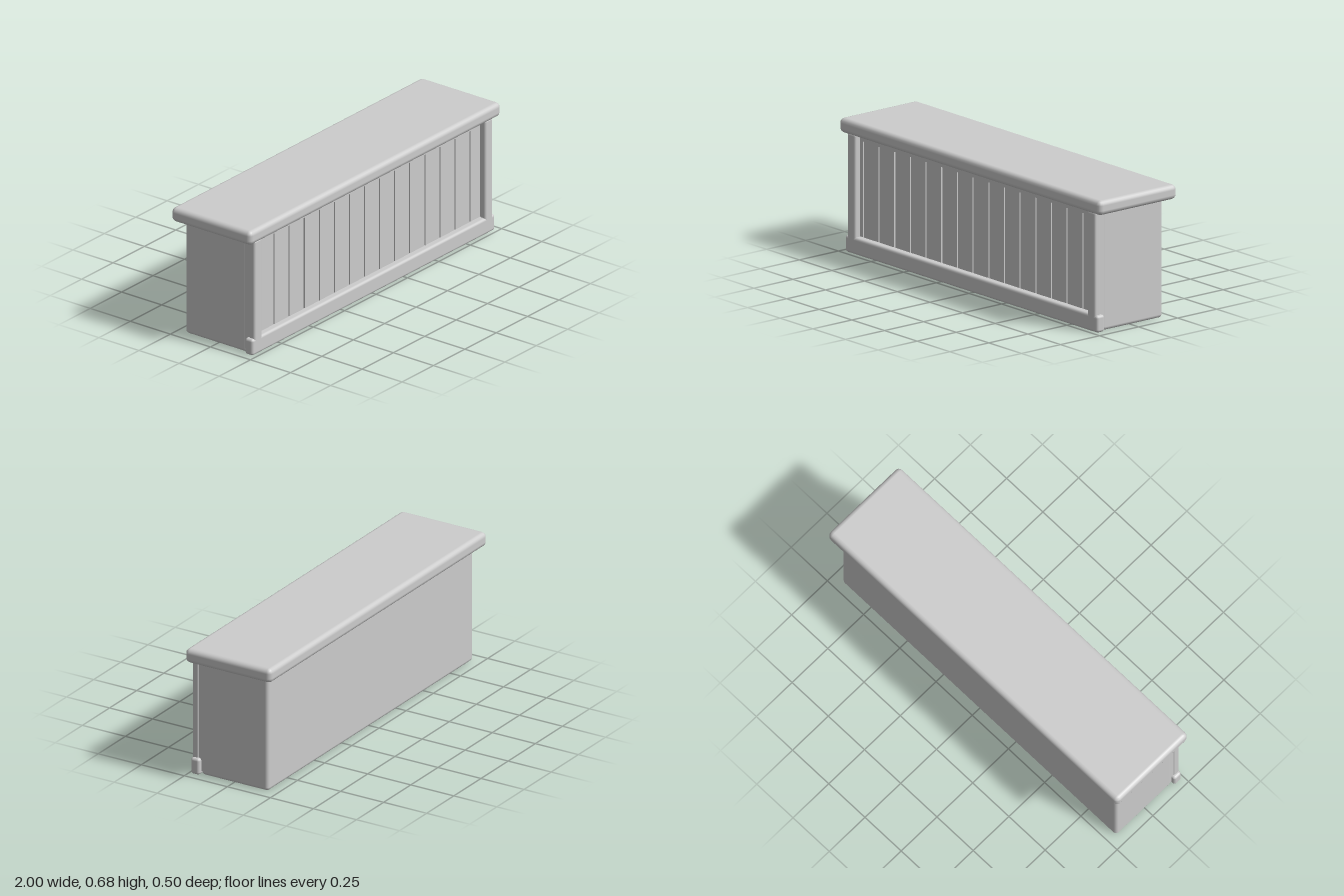
import * as THREE from 'three';
import { RoundedBoxGeometry } from 'three/addons/geometries/RoundedBoxGeometry.js';

export function createModel() {
  const model = new THREE.Group();
  model.name = 'counter';
  const grey = new THREE.MeshStandardMaterial({ color: 0xcccccc });
  grey.name = 'light grey';

  // Box given by its limits; radius 0 keeps the edges sharp
  function block(name, [x0, x1], [y0, y1], [z0, z1], radius = 0) {
    const size = [x1 - x0, y1 - y0, z1 - z0];
    const geometry = radius
      ? new RoundedBoxGeometry(...size, 2, radius)
      : new THREE.BoxGeometry(...size);
    const mesh = new THREE.Mesh(geometry, grey);
    mesh.name = name;
    mesh.position.set((x0 + x1) / 2, (y0 + y1) / 2, (z0 + z1) / 2);
    model.add(mesh);
  }

  // Main body and overhanging top
  block('body', [-0.945, 0.945], [0, 0.612], [-0.202, 0.186], 0.018);
  block('counterTop', [-1, 1], [0.607, 0.682], [-0.25, 0.25], 0.025);

  // Front boards, with narrow grooves between them
  const grooveWidth = 0.008, front = [0.16, 0.2];
  const grooves = Array.from({ length: 15 }, (_, i) => -0.868 + i * 0.12);
  const edges = [-0.944, ...grooves, 0.944];
  for (let i = 0; i < edges.length - 1; i++) {
    const left = i === 0 ? edges[i] : edges[i] + grooveWidth / 2;
    const right = i === edges.length - 2 ? edges[i + 1] : edges[i + 1] - grooveWidth / 2;
    block('frontBoard', [left, right], [0.02, 0.577], front);
  }
  block('upperRail', [-0.944, 0.944], [0.577, 0.61], front);

  // Corner posts
  for (const side of [-1, 1]) {
    const x = side * 0.919;
    block('cornerPost', [x - 0.03, x + 0.03], [0.06, 0.615], [0.197, 0.237], 0.012);
  }

  // Skirting along the foot of the front
  block('baseBoard', [-0.966, 0.966], [0.002, 0.089], [0.186, 0.237], 0.014);

  return model;
}
